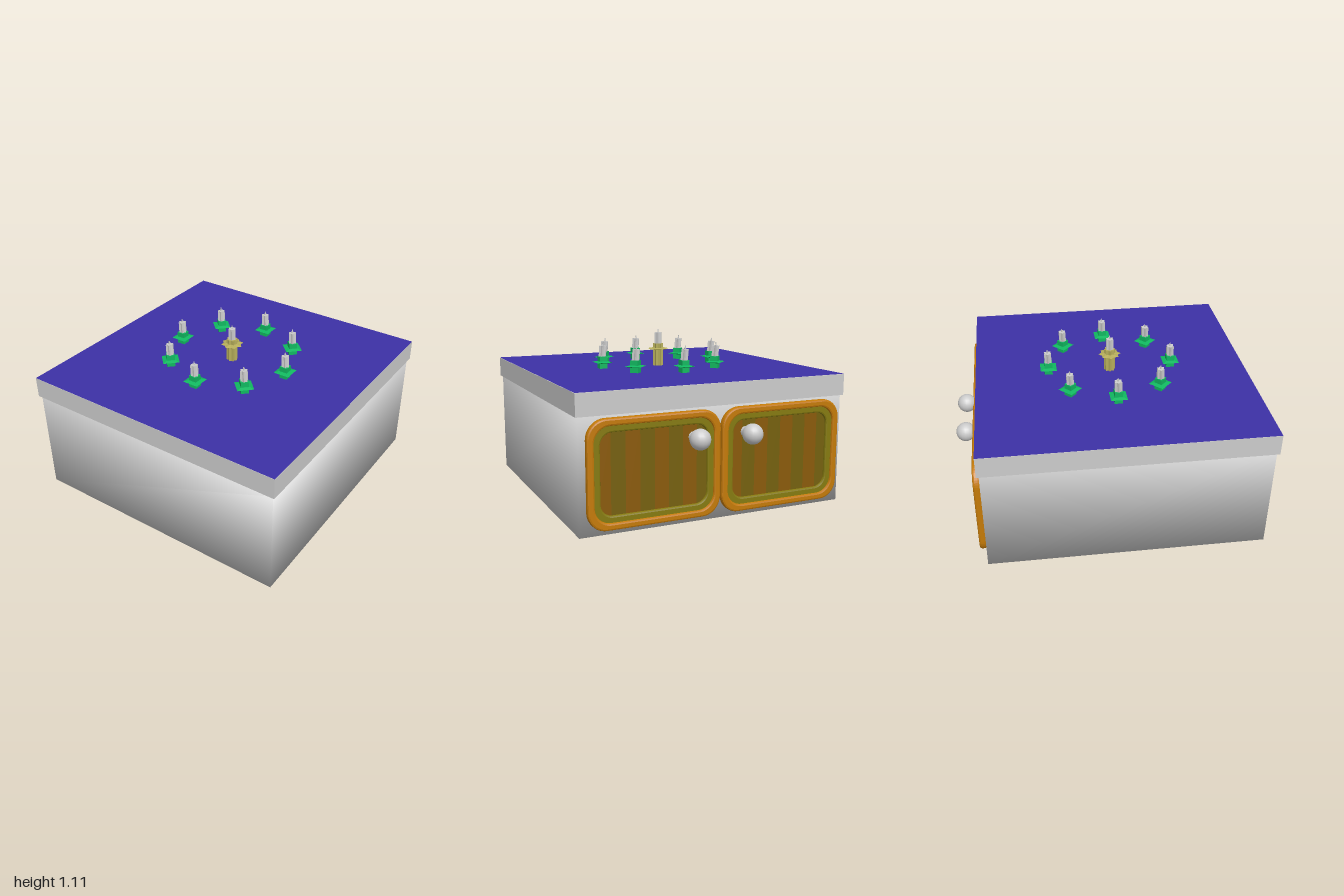
import * as THREE from 'three';
import { mergeVertices } from 'three/addons/utils/BufferGeometryUtils.js';

const mat = (color, flatShading = false) => new THREE.MeshStandardMaterial({ color, flatShading });
const grey = mat(0xcccccc);
const greyFlat = mat(0xcccccc, true);
const purple = mat(0x3d31a5);
const green = mat(0x10b860, true);
const yellow = mat(0xb5ad5a, true);
const orange = mat(0xc47a08);
const olive = mat(0x857a10);
const boardColors = [mat(0x8a5a0a), mat(0x75600e)];

function add(parent, name, geometry, material, x = 0, y = 0, z = 0) {
  const mesh = new THREE.Mesh(geometry, material);
  mesh.name = name;
  mesh.position.set(x, y, z);
  parent.add(mesh);
  return mesh;
}

// Rounded rectangle centred on the origin, given half sizes and corner radius
function roundedRect(target, w, h, r) {
  target.absarc(w - r, h - r, r, 0, Math.PI / 2);
  target.absarc(r - w, h - r, r, Math.PI / 2, Math.PI);
  target.absarc(r - w, r - h, r, Math.PI, Math.PI * 1.5);
  target.absarc(w - r, r - h, r, Math.PI * 1.5, Math.PI * 2);
  target.closePath();
  return target;
}

// Bevelled ring between two rounded rectangles, starting at z = 0
function ring(outer, inner, height, bevel) {
  const [w, h, r] = outer;
  const [iw, ih, ir] = inner;
  const shape = roundedRect(new THREE.Shape(), w - bevel, h - bevel, r - bevel);
  shape.holes.push(roundedRect(new THREE.Path(), iw + bevel, ih + bevel, ir + bevel));
  const geometry = new THREE.ExtrudeGeometry(shape, {
    depth: height - bevel * 2, bevelEnabled: true, bevelSize: bevel,
    bevelThickness: bevel, bevelSegments: 2, curveSegments: 6,
  });
  return geometry.translate(0, 0, bevel);
}

// Cabinet door facing local +z; knobSide places the knob near one long edge
function makeDoor(knobSide) {
  const door = new THREE.Group();
  add(door, 'doorFrame', ring([0.43, 0.333, 0.12], [0.385, 0.288, 0.1], 0.045, 0.012), orange);
  add(door, 'doorMoulding', ring([0.4, 0.303, 0.1], [0.345, 0.248, 0.075], 0.032, 0.01), olive);
  const count = 8;
  const width = 0.74 / count;
  for (let i = 0; i < count; i++) {
    add(door, 'doorBoard', new THREE.BoxGeometry(width, 0.54, 0.014), boardColors[i % 2],
      -0.37 + width * (i + 0.5), 0, 0.009);
  }
  const stem = add(door, 'knobStem', new THREE.CylinderGeometry(0.025, 0.035, 0.07, 12), grey,
    knobSide * 0.255, 0.172, 0.045);
  stem.rotation.x = Math.PI / 2;
  add(door, 'knob', new THREE.SphereGeometry(0.065, 18, 12), grey, knobSide * 0.255, 0.172, 0.105);
  return door;
}

// Fluted candle standing at local y = 0
function makeCandle() {
  const candle = new THREE.Group();
  candle.name = 'candle';
  const outline = new THREE.Shape();
  for (let i = 0; i < 12; i++) {
    const a = (i / 12) * Math.PI * 2;
    const r = i % 2 ? 0.019 : 0.027;
    outline[i ? 'lineTo' : 'moveTo'](r * Math.cos(a), r * Math.sin(a));
  }
  outline.closePath();
  const wax = new THREE.ExtrudeGeometry(outline, { depth: 0.085, bevelEnabled: false });
  add(candle, 'candleWax', wax.rotateX(-Math.PI / 2), greyFlat, 0, -0.01, 0);
  add(candle, 'wick', new THREE.CylinderGeometry(0.003, 0.005, 0.025, 6), greyFlat, 0, 0.085, 0);
  candle.rotation.z = 0.07;
  candle.rotation.x = -0.04;
  return candle;
}

// Square holder: a post with a thin saucer tapering to its edge
function addHolder(parent, material, height, saucerY, turn) {
  const post = add(parent, 'holderPost', new THREE.BoxGeometry(0.054, height, 0.054), material, 0, height / 2, 0);
  post.rotation.y = turn;
  for (const side of [1, -1]) {
    const half = new THREE.CylinderGeometry(
      side > 0 ? 0.045 : 0.077, side > 0 ? 0.077 : 0.045, 0.007, 4);
    const saucer = add(parent, 'holderSaucer', half, material, 0, saucerY + side * 0.0035, 0);
    saucer.rotation.y = turn + Math.PI / 4;
  }
}

export function createModel() {
  const model = new THREE.Group();
  model.name = 'cabinet';

  // Body with softly blended normals over shared corners
  let box = new THREE.BoxGeometry(1.81, 0.715, 1.815);
  box.deleteAttribute('normal');
  box.deleteAttribute('uv');
  box = mergeVertices(box);
  box.computeVertexNormals();
  add(model, 'cabinetBody', box, grey, 0, 0.3575, 0.0775);

  // Table top and its coloured surface
  add(model, 'tableTop', new THREE.BoxGeometry(1.84, 0.138, 1.845), grey, 0, 0.784, 0.0775);
  add(model, 'tableSurface', new THREE.PlaneGeometry(1.84, 1.845).rotateX(-Math.PI / 2), purple, 0, 0.855, 0.0775);

  // Pair of doors on the back
  for (const side of [-1, 1]) {
    const door = makeDoor(side);
    door.name = side > 0 ? 'leftDoor' : 'rightDoor';
    door.position.set(side * 0.435, 0.367, -0.83);
    door.rotation.y = Math.PI;
    model.add(door);
  }

  // Ring of eight candles
  const centre = new THREE.Vector3(0, 0.855, 0.07);
  for (let i = 0; i < 8; i++) {
    const a = (i * Math.PI) / 4;
    const unit = new THREE.Group();
    unit.name = 'ringCandle';
    unit.position.set(0.42 * Math.sin(a), 0, 0.42 * Math.cos(a)).add(centre);
    addHolder(unit, green, 0.082, 0.042, a);
    const candle = makeCandle();
    candle.position.y = 0.08;
    unit.add(candle);
    model.add(unit);
  }

  // Taller central candle on a star-shaped holder
  const middle = new THREE.Group();
  middle.name = 'centreCandle';
  middle.position.copy(centre);
  for (const turn of [0, Math.PI / 4]) addHolder(middle, yellow, 0.155, 0.118, turn);
  const candle = makeCandle();
  candle.position.y = 0.157;
  candle.rotation.set(0, 0, 0);
  middle.add(candle);
  model.add(middle);

  return model;
}
